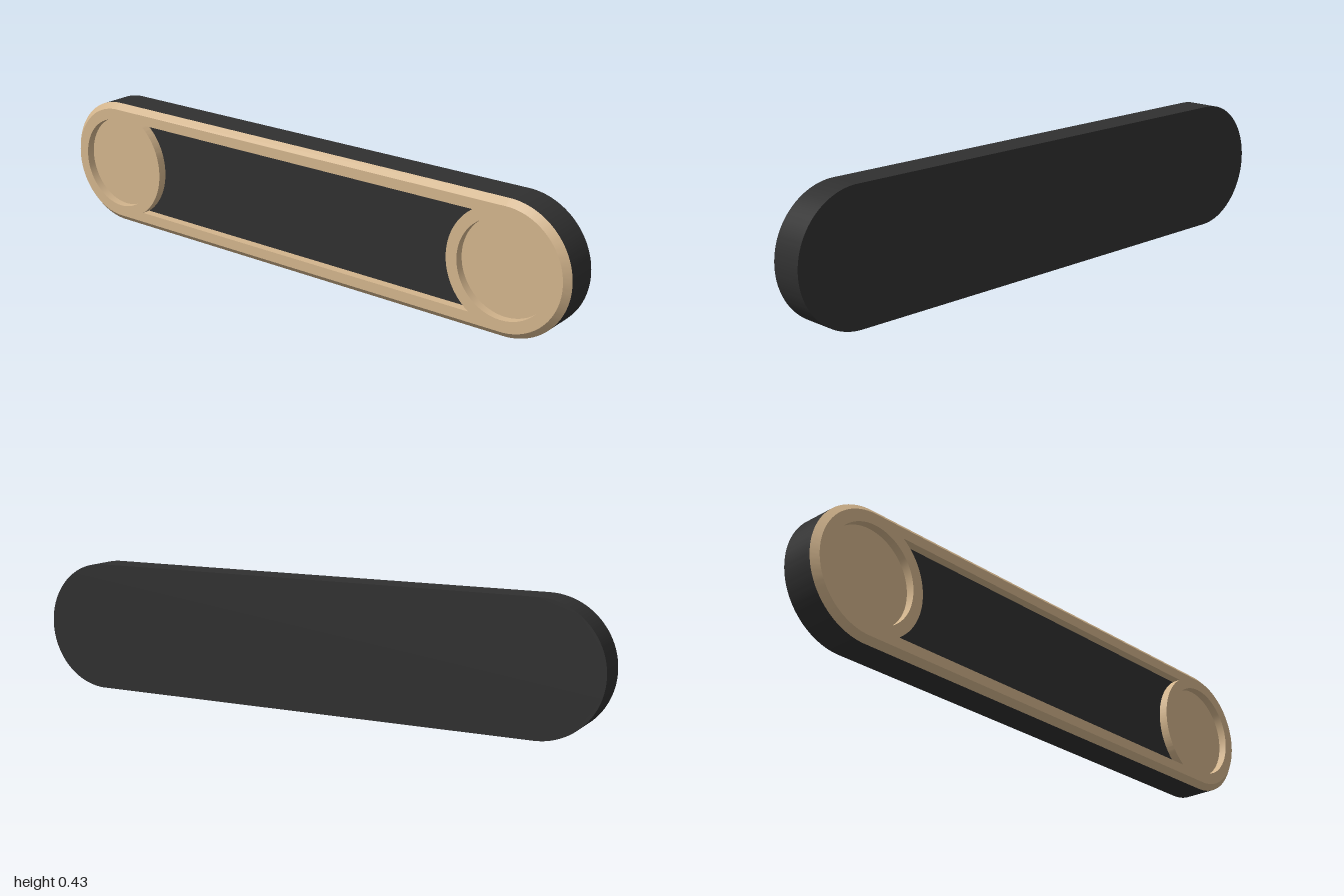
import * as THREE from 'three';
import { toCreasedNormals } from 'three/addons/utils/BufferGeometryUtils.js';

const R = 0.216, C = 0.784, CHAMFER = 0.02;      // end radius, end centre, edge chamfer
const BACK = -0.064, FLOOR = 0.034, EDGE = 0.045, FRONT = 0.064;

// Stadium outline of the given end radius, centred on the origin
function stadium(r, Type = THREE.Shape) {
  const s = new Type();
  s.moveTo(-C, -r);
  s.lineTo(C, -r);
  s.absarc(C, 0, r, -Math.PI / 2, Math.PI / 2, false);
  s.lineTo(-C, r);
  s.absarc(-C, 0, r, Math.PI / 2, Math.PI * 1.5, false);
  return s;
}

function slab(shape, z0, z1) {
  const g = new THREE.ExtrudeGeometry(shape, { depth: z1 - z0, bevelEnabled: false, curveSegments: 40 });
  g.translate(0, R, z0);
  return toCreasedNormals(g, 0.5);
}

// Sloping band joining the outer outline to the inset front outline
function chamferBand() {
  const a = stadium(R).getPoints(40), b = stadium(R - CHAMFER).getPoints(40);
  const pos = [], idx = [];
  a.forEach((p, i) => {
    pos.push(p.x, p.y + R, EDGE, b[i].x, b[i].y + R, FRONT);
    if (i > 0) {
      const k = 2 * i;
      idx.push(k - 2, k, k + 1, k - 2, k + 1, k - 1);
    }
  });
  const g = new THREE.BufferGeometry();
  g.setAttribute('position', new THREE.Float32BufferAttribute(pos, 3));
  g.setIndex(idx);
  return toCreasedNormals(g, 0.5);
}

export function createModel() {
  const group = new THREE.Group();
  const dark = new THREE.MeshStandardMaterial({ name: 'charcoal', color: 0x303030 });
  const tan = new THREE.MeshStandardMaterial({ name: 'tan', color: 0xd2b48c });
  const add = (name, geometry, material) => {
    const m = new THREE.Mesh(geometry, material);
    m.name = name;
    group.add(m);
    return m;
  };

  // Dark body and the rim that surrounds the front frame
  add('body', slab(stadium(R), BACK, FLOOR), dark);
  const rim = stadium(R);
  rim.holes.push(stadium(R - CHAMFER, THREE.Path));
  add('bodyRim', slab(rim, FLOOR, EDGE), dark);

  // Tan frame with a long window and two round recesses
  const ring = R - CHAMFER, half = 0.162, recess = 0.158;
  const a = Math.asin(half / ring);
  const frame = stadium(ring);
  const opening = new THREE.Path();
  opening.absarc(C, 0, ring, Math.PI + a, Math.PI - a, true);
  opening.absarc(-C, 0, ring, a, -a, true);
  opening.closePath();
  frame.holes.push(opening);
  for (const s of [-1, 1]) {
    frame.holes.push(new THREE.Path().absarc(s * C, 0, recess, 0, Math.PI * 2, false));
  }
  add('frontFrame', slab(frame, FLOOR, FRONT), tan);
  add('frameChamfer', chamferBand(), tan);

  // Round recess floors
  for (const s of [-1, 1]) {
    const disc = add(s > 0 ? 'leftRecessFloor' : 'rightRecessFloor', new THREE.CircleGeometry(recess, 64), tan);
    disc.position.set(s * C, R, FLOOR + 0.002);
  }
  return group;
}
